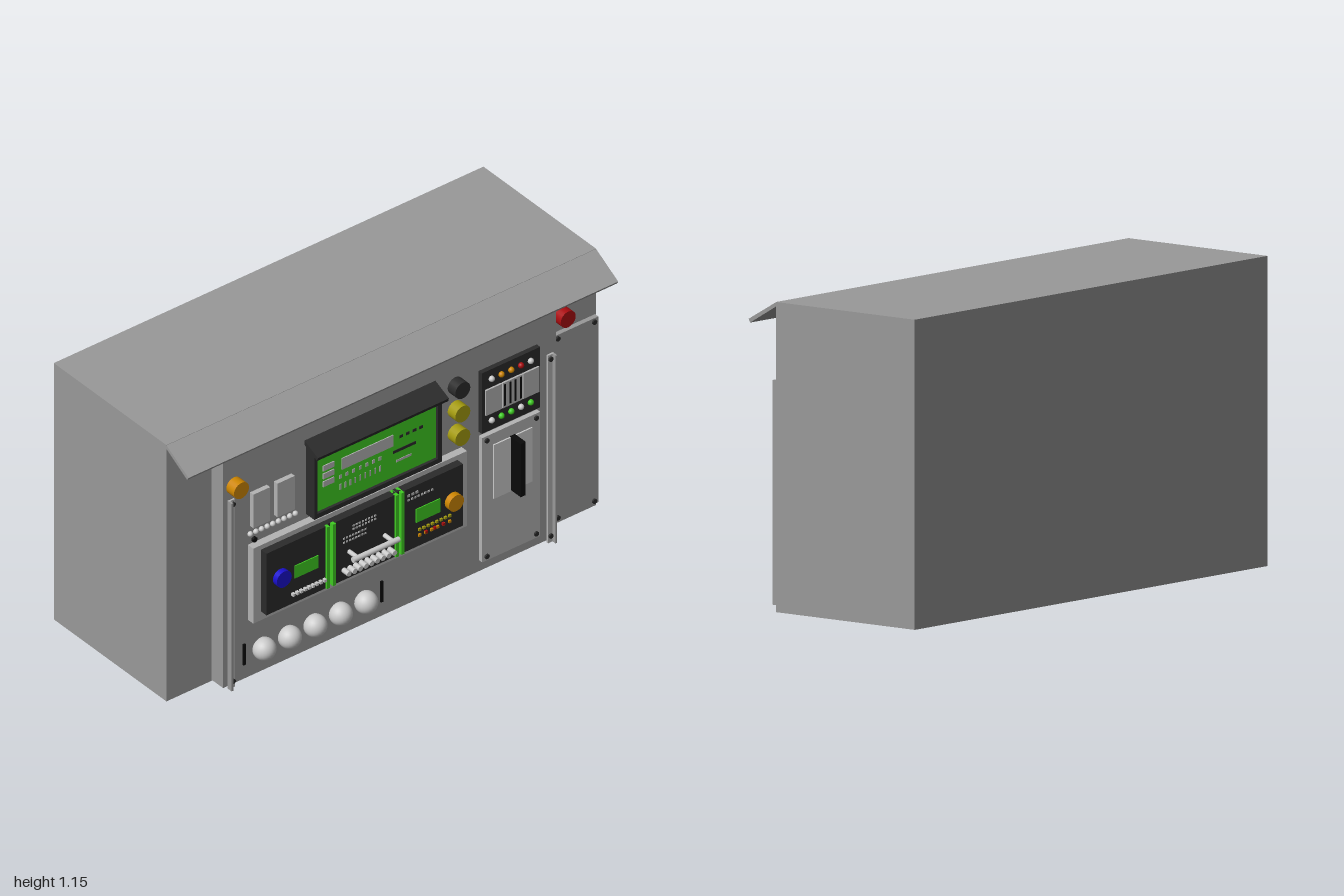
import * as THREE from 'three';

const colours = {
  body: 0x999999, pale: 0xb4b4b4, light: 0xcccccc, dark: 0x2b2b2b, black: 0x0a0a0a,
  green: 0x3fcc22, orange: 0xcc8500, yellow: 0xa39a10, red: 0xa80c10, blue: 0x1a10cc,
};
const mats = {};
for (const k in colours) mats[k] = new THREE.MeshStandardMaterial({ color: colours[k] });

export function createModel() {
  const root = new THREE.Group();
  root.name = 'controlCabinet';

  const add = (name, geo, mat, x = 0, y = 0, z = 0, parent = root) => {
    const m = new THREE.Mesh(geo, mats[mat]);
    m.name = name;
    m.position.set(x, y, z);
    parent.add(m);
    return m;
  };
  // Box given by its limits on each axis
  const box = (name, mat, x0, x1, y0, y1, z0, z1, parent = root) =>
    add(name, new THREE.BoxGeometry(x1 - x0, y1 - y0, z1 - z0), mat,
      (x0 + x1) / 2, (y0 + y1) / 2, (z0 + z1) / 2, parent);
  // Round part pointing forwards
  const disc = (name, mat, x, y, r, z0, z1, parent = root, sides = 24) =>
    add(name, new THREE.CylinderGeometry(r, r, z1 - z0, sides).rotateX(Math.PI / 2), mat,
      x, y, (z0 + z1) / 2, parent);
  const ball = (name, mat, x, y, r, z, parent = root) =>
    add(name, new THREE.SphereGeometry(r, 24, 16), mat, x, y, z, parent);
  const group = (name) => {
    const g = new THREE.Group();
    g.name = name;
    root.add(g);
    return g;
  };
  // Side profile as [z, y] points, extruded across x
  const profile = (name, mat, pts, x0, x1, parent = root) => {
    const shape = new THREE.Shape(pts.map(([z, y]) => new THREE.Vector2(-z, y)));
    const geo = new THREE.ExtrudeGeometry(shape, { depth: x1 - x0, bevelEnabled: false });
    return add(name, geo.rotateY(Math.PI / 2), mat, x0, 0, 0, parent);
  };
  // Row of small boxes
  const row = (name, mat, x0, x1, n, y, w, h, z0, z1, parent) => {
    for (let i = 0; i < n; i++) {
      const x = x0 + (x1 - x0) * i / (n - 1);
      box(name, mat, x - w / 2, x + w / 2, y - h / 2, y + h / 2, z0, z1, parent);
    }
  };
  const screws = (xs, ys, z, parent) => {
    for (const x of xs) for (const y of ys) disc('screw', 'dark', x, y, 0.01, z, z + 0.007, parent, 12);
  };

  // Cabinet, sloping canopy and front door
  box('cabinet', 'body', -1, 1, 0.005, 1.15, -0.45, 0.212);
  profile('canopy', 'body', [[0.21, 1.15], [0.342, 1.075], [0.334, 1.062], [0.21, 1.134]], -1, 1);
  box('door', 'body', -0.79, 0.76, 0.01, 1.015, 0.212, 0.28);

  // Side service panel
  const service = group('servicePanel');
  box('panel', 'body', 0.78, 0.995, 0.03, 0.86, 0.21, 0.231, service);
  screws([0.805, 0.975], [0.045, 0.845], 0.231, service);
  disc('redButton', 'red', 0.84, 0.925, 0.035, 0.21, 0.25);

  // Upright angle rails on both sides of the door
  for (const [x, s] of [[-0.755, -1], [0.73, 1]]) {
    const rail = group('rail');
    box('base', 'pale', x - 0.014, x + 0.014, 0, 0.838, 0.28, 0.288, rail);
    box('flange', 'body', x + s * 0.011 - 0.004, x + s * 0.011 + 0.004, 0, 0.838, 0.28, 0.305, rail);
    screws([x - s * 0.003], [0.03, 0.82], 0.288, rail);
  }

  // Screen with frame and visor
  const screen = group('screen');
  const frame = new THREE.Shape([[-0.405, 0.62], [0.19, 0.62], [0.19, 0.92], [-0.405, 0.92]]
    .map(([x, y]) => new THREE.Vector2(x, y)));
  frame.holes.push(new THREE.Path([[-0.39, 0.64], [-0.39, 0.9], [0.17, 0.9], [0.17, 0.64]]
    .map(([x, y]) => new THREE.Vector2(x, y))));
  add('frame', new THREE.ExtrudeGeometry(frame, { depth: 0.05, bevelEnabled: false }), 'dark', 0, 0, 0.28, screen);
  box('display', 'green', -0.392, 0.172, 0.638, 0.902, 0.28, 0.318, screen);
  profile('visor', 'dark', [[0.28, 0.95], [0.36, 0.915], [0.355, 0.9], [0.28, 0.932]], -0.412, 0.198, screen);
  box('readout', 'pale', -0.27, -0.03, 0.78, 0.83, 0.318, 0.322, screen);
  for (const y of [0.752, 0.787, 0.822]) box('tile', 'pale', -0.357, -0.305, y - 0.012, y + 0.012, 0.318, 0.322, screen);
  // Plain tick marks on the display
  row('tick', 'pale', -0.275, -0.09, 7, 0.75, 0.012, 0.016, 0.318, 0.32, screen);
  row('tick', 'pale', -0.275, -0.09, 9, 0.705, 0.007, 0.025, 0.318, 0.32, screen);
  row('tick', 'dark', 0.008, 0.1, 4, 0.807, 0.016, 0.012, 0.318, 0.32, screen);
  box('bar', 'dark', -0.03, 0.075, 0.744, 0.756, 0.318, 0.32, screen);
  box('bar', 'pale', -0.015, 0.055, 0.7, 0.71, 0.318, 0.32, screen);

  // Round knobs beside the screen
  const knobs = group('knobs');
  [['dark', 0.89], ['yellow', 0.785], ['yellow', 0.68]].forEach(([c, y]) => {
    disc('knob', c, 0.29, y, 0.035, 0.28, 0.325, knobs);
  });
  disc('orangeButton', 'orange', -0.74, 0.895, 0.035, 0.28, 0.325, knobs);

  // Upper left meter boxes with a row of studs
  const meters = group('meters');
  box('meter', 'pale', -0.665, -0.587, 0.68, 0.83, 0.28, 0.3, meters);
  box('meter', 'pale', -0.553, -0.472, 0.68, 0.83, 0.28, 0.3, meters);
  for (let i = 0; i < 9; i++) ball('stud', 'light', -0.667 + i * 0.0262, 0.647, 0.011, 0.284, meters);
  disc('pin', 'black', -0.648, 0.615, 0.011, 0.28, 0.29, meters, 12);

  // Console plate with three modules
  const console3 = group('console');
  box('plate', 'pale', -0.675, 0.32, 0.265, 0.6, 0.28, 0.312, console3);
  for (const x of [-0.64, -0.322, -0.003]) box('module', 'dark', x, x + 0.278, 0.305, 0.58, 0.31, 0.345, console3);
  for (const x of [-0.357, -0.328, -0.035, -0.009]) {
    box('greenStrip', 'green', x - 0.007, x + 0.007, 0.305, 0.58, 0.31, 0.352, console3);
  }
  box('gapFill', 'dark', -0.365, 0, 0.305, 0.58, 0.31, 0.335, console3);
  // Left module
  disc('blueKnob', 'blue', -0.575, 0.45, 0.035, 0.345, 0.368, console3);
  box('smallDisplay', 'green', -0.51, -0.4, 0.415, 0.47, 0.345, 0.349, console3);
  row('key', 'light', -0.555, -0.41, 9, 0.39, 0.011, 0.012, 0.39, 0.403, console3);
  // Middle module
  row('mark', 'pale', -0.235, -0.135, 8, 0.53, 0.008, 0.007, 0.345, 0.348, console3);
  row('mark', 'pale', -0.235, -0.135, 8, 0.515, 0.008, 0.007, 0.345, 0.348, console3);
  row('mark', 'pale', -0.28, -0.18, 8, 0.49, 0.008, 0.007, 0.345, 0.348, console3);
  row('mark', 'pale', -0.28, -0.18, 8, 0.472, 0.008, 0.007, 0.345, 0.348, console3);
  add('handleBar', new THREE.CylinderGeometry(0.011, 0.011, 0.215, 16).rotateZ(Math.PI / 2), 'light',
    -0.172, 0.422, 0.397, console3);
  for (const x of [-0.255, -0.09]) disc('handlePost', 'light', x, 0.422, 0.009, 0.345, 0.397, console3, 16);
  for (let i = 0; i < 9; i++) disc('peg', 'light', -0.28 + i * 0.0265, 0.35, 0.011, 0.345, 0.378, console3, 12);
  // Right module
  disc('orangeKnob', 'orange', 0.225, 0.44, 0.035, 0.345, 0.37, console3);
  box('smallDisplay', 'green', 0.055, 0.167, 0.415, 0.475, 0.345, 0.349, console3);
  row('mark', 'pale', 0.022, 0.06, 3, 0.55, 0.01, 0.01, 0.345, 0.348, console3);
  row('mark', 'pale', 0.022, 0.13, 8, 0.53, 0.009, 0.008, 0.345, 0.348, console3);
  row('key', 'yellow', 0.07, 0.21, 8, 0.38, 0.011, 0.01, 0.345, 0.353, console3);
  row('key', 'orange', 0.07, 0.21, 6, 0.355, 0.011, 0.01, 0.345, 0.353, console3);
  row('key', 'red', 0.1, 0.18, 3, 0.357, 0.011, 0.01, 0.345, 0.354, console3);

  // Row of lamps between two slots
  const lamps = group('lamps');
  for (let i = 0; i < 5; i++) ball('lamp', 'light', -0.614 + i * 0.1185, 0.12, 0.045, 0.3, lamps);
  for (const x of [-0.695, -0.055]) box('slot', 'black', x - 0.005, x + 0.005, 0.075, 0.167, 0.28, 0.287, lamps);

  // Breaker panel with indicator lights
  const breakers = group('breakerPanel');
  box('panel', 'dark', 0.398, 0.67, 0.635, 0.905, 0.28, 0.3, breakers);
  for (const [x0, x1] of [[0.412, 0.487], [0.49, 0.582], [0.585, 0.66]]) {
    box('breaker', 'pale', x0, x1, 0.713, 0.825, 0.3, 0.308, breakers);
  }
  row('breakerSlot', 'black', 0.5, 0.573, 4, 0.77, 0.008, 0.095, 0.3, 0.31, breakers);
  [['light', 'orange', 'orange', 'red', 'light'], ['light', 'green', 'green', 'light', 'green']].forEach((cs, j) =>
    cs.forEach((c, i) => ball('indicator', c, 0.441 + i * 0.0455, j ? 0.68 : 0.865, 0.012, 0.304, breakers)));

  // Main switch panel with lever
  const mainSwitch = group('mainSwitch');
  box('panel', 'pale', 0.4, 0.67, 0.06, 0.615, 0.28, 0.3, mainSwitch);
  screws([0.42, 0.65], [0.08, 0.597], 0.3, mainSwitch);
  box('backplate', 'light', 0.45, 0.63, 0.325, 0.565, 0.3, 0.306, mainSwitch);
  box('lever', 'black', 0.529, 0.552, 0.33, 0.568, 0.3, 0.364, mainSwitch);

  return root;
}
